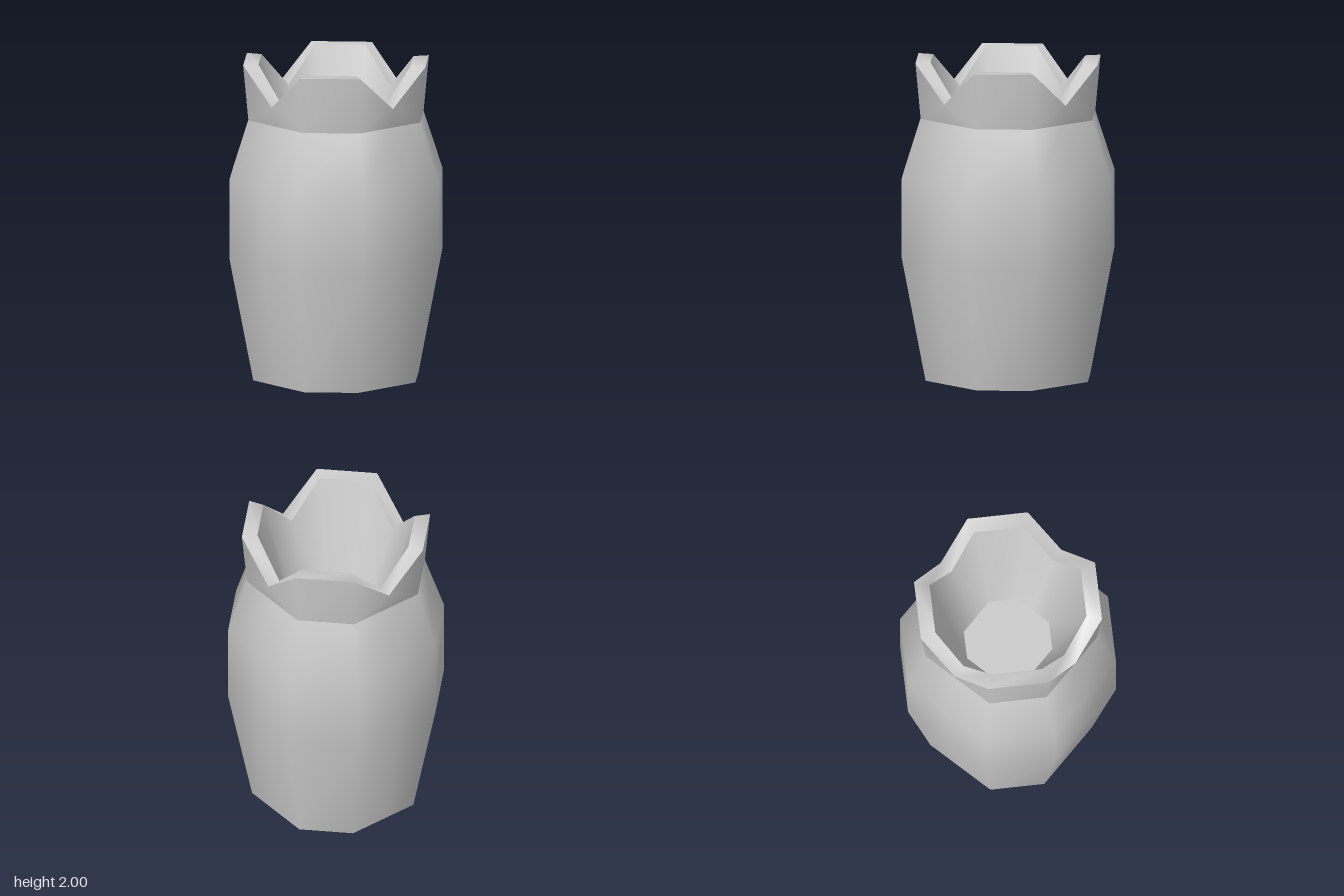
import * as THREE from 'three';

const material = new THREE.MeshStandardMaterial({ color: 0xcccccc });

// Chamfered-square ring: per quarter a side midpoint and two corners (12 points).
// midY lets the side midpoints dip below the corners to form the notches.
function ring(a, y, midY = y) {
  const points = [];
  for (let q = 0; q < 4; q++) {
    const c = [1, 0, -1, 0][q], s = [0, 1, 0, -1][q];
    for (const [x, z, h] of [[a, 0, midY], [a, a / 2, y], [a / 2, a, y]]) {
      points.push([x * c - z * s, h, x * s + z * c]);
    }
  }
  return points;
}

// Skin through successive rings; flip picks which quads use the other diagonal.
function loft(name, rings, flip = -1) {
  const n = 12, index = [];
  for (let r = 0; r < rings.length - 1; r++) {
    for (let i = 0; i < n; i++) {
      const a = r * n + i, b = r * n + (i + 1) % n, c = a + n, d = b + n;
      if (i % 3 === flip) index.push(a, c, d, a, d, b);
      else index.push(a, c, b, b, c, d);
    }
  }
  const geometry = new THREE.BufferGeometry();
  geometry.setAttribute('position', new THREE.Float32BufferAttribute(rings.flat(2), 3));
  geometry.setIndex(index);
  geometry.computeVertexNormals();
  const mesh = new THREE.Mesh(geometry, material);
  mesh.name = name;
  return mesh;
}

export function createModel() {
  const vase = new THREE.Group();
  vase.name = 'vase';

  const base = ring(0.475, 0);
  const neck = ring(0.503, 1.65);
  const outerRim = ring(0.533, 2, 1.775);
  const innerRim = ring(0.445, 2, 1.775);
  const floor = ring(0.25, 1.28);

  vase.add(
    loft('base', [ring(0, 0), base]),
    loft('body', [base, ring(0.612, 0.78), ring(0.612, 1.28), neck]),
    // Flared collar with four peaks on the chamfers and notches on the sides
    loft('collar', [neck, outerRim], 2),
    loft('rim', [outerRim, innerRim]),
    // Tapering hollow
    loft('innerWall', [innerRim, floor], 0),
    loft('innerFloor', [floor, ring(0, 1.28)])
  );
  return vase;
}
